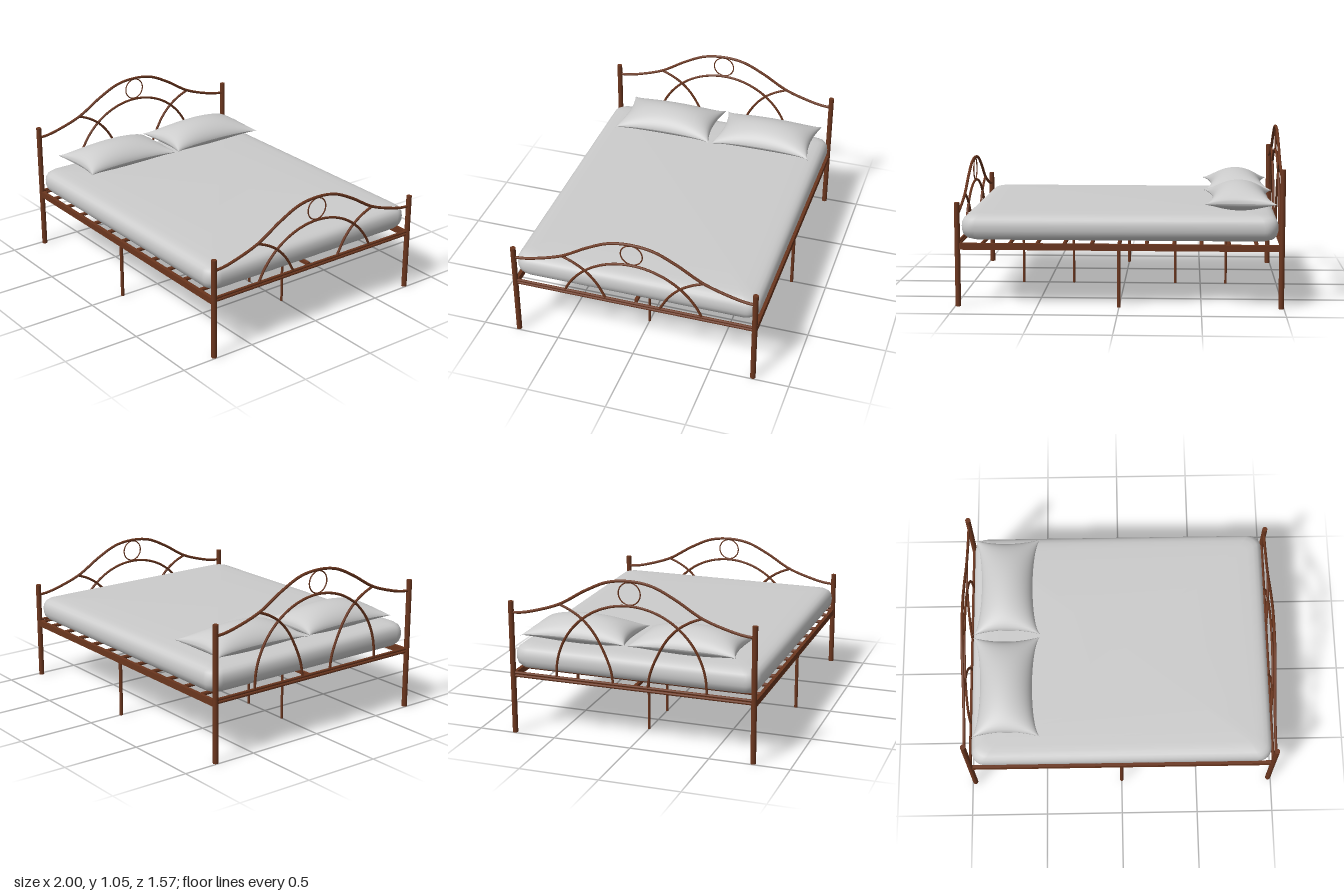
import * as THREE from 'three';

const frameMat = new THREE.MeshStandardMaterial({ color: 0x6b361e });
frameMat.name = 'brown metal';
const fabricMat = new THREE.MeshStandardMaterial({ color: 0xcccccc });
fabricMat.name = 'pale grey fabric';

const V = (x, y, z) => new THREE.Vector3(x, y, z);

function add(parent, name, geometry, material = frameMat) {
  const mesh = new THREE.Mesh(geometry, material);
  mesh.name = name;
  parent.add(mesh);
  return mesh;
}

// Straight round bar between two points
function bar(parent, name, a, b, r, sides = 12) {
  const dir = b.clone().sub(a);
  const mesh = add(parent, name, new THREE.CylinderGeometry(r, r, dir.length(), sides));
  mesh.position.copy(a).add(b).multiplyScalar(0.5);
  mesh.quaternion.setFromUnitVectors(V(0, 1, 0), dir.normalize());
}

// Bent bar in the plane of an end panel, through [z, y] points
function bentBar(parent, name, points, r, segments = 48) {
  const curve = new THREE.CatmullRomCurve3(points.map(([z, y]) => V(0, y, z)));
  add(parent, name, new THREE.TubeGeometry(curve, segments, r, 8));
}

// Arched end panel; "lift" raises the whole ornament above the footboard height
function endPanel(name, x, lift) {
  const g = new THREE.Group();
  g.name = name;
  g.position.x = x;
  const base = 0.39;

  for (const s of [-1, 1]) bar(g, 'cornerPost', V(0, 0, s * 0.77), V(0, 0.638 + lift, s * 0.77), 0.017, 16);
  bar(g, 'upperCrossBar', V(0, 0.392, -0.77), V(0, 0.392, 0.77), 0.009);
  bar(g, 'lowerCrossBar', V(0, 0.373, -0.77), V(0, 0.373, 0.77), 0.009);

  // Sweeping top rail
  const half = [[0.77, 0.568], [0.71, 0.572], [0.62, 0.592], [0.45, 0.65], [0.28, 0.75], [0.14, 0.814]];
  const rail = [...half, [0, 0.832], ...half.map(([z, y]) => [-z, y]).reverse()];
  bentBar(g, 'topRail', rail.map(([z, y]) => [z, y + lift]), 0.009, 80);

  // Inner arch: circular, with straight feet on the taller panel
  const R = 0.48, cy = 0.2 + lift;
  const end = lift > 0 ? Math.PI / 2 : Math.acos((base - cy) / R);
  const arch = [];
  for (let i = -10; i <= 10; i++) {
    const a = (end * i) / 10;
    arch.push([R * Math.sin(a), cy + R * Math.cos(a)]);
  }
  bentBar(g, 'innerArch', arch, 0.008, 64);
  if (lift > 0) for (const s of [-1, 1]) bar(g, 'archFoot', V(0, base, s * R), V(0, cy, s * R), 0.008, 8);

  // Crossing braces on both sides
  for (const s of [-1, 1]) {
    const pts = [[0.452, 0.65], [0.38, 0.62], [0.305, 0.572], [0.235, 0.498], [0.175, 0.395]]
      .map(([z, y]) => [s * z, y + lift]);
    if (lift > 0) pts.push([s * 0.125, 0.48], [s * 0.11, base]);
    bentBar(g, 'curvedBrace', pts, 0.008, 36);
  }

  // Ring between rail and arch
  const ring = add(g, 'ornamentRing', new THREE.TorusGeometry(0.069, 0.004, 8, 40));
  ring.rotation.y = Math.PI / 2;
  ring.position.y = 0.756 + lift;
  return g;
}

// Rails, slats and support legs
function bedBase() {
  const g = new THREE.Group();
  g.name = 'bedBase';
  for (const s of [-1, 1]) {
    add(g, 'sideRail', new THREE.BoxGeometry(1.94, 0.04, 0.022)).position.set(0, 0.37, s * 0.77);
    bar(g, 'sideLeg', V(0, 0, s * 0.77), V(0, 0.36, s * 0.77), 0.011);
    add(g, 'centreBeam', new THREE.BoxGeometry(0.85, 0.02, 0.02)).position.set(s * 0.495, 0.36, 0);
    for (const x of [0.335, 0.667]) bar(g, 'centreLeg', V(s * x, 0, 0), V(s * x, 0.36, 0), 0.008);
  }
  for (let i = -5; i <= 5; i++) bar(g, 'slat', V(i / 6, 0.382, -0.765), V(i / 6, 0.382, 0.765), 0.012, 10);
  return g;
}

// Soft slab: rounded-rectangle sections [inset, height, scale] joined from bottom to top
function mattressGeometry(a, b) {
  const sections = [[0.1, 0.4, 0], [0.1, 0.4, 0.6], [0.1, 0.4, 1], [0.06, 0.404, 1], [0.028, 0.416, 1],
    [0.009, 0.438, 1], [0.001, 0.465, 1], [0, 0.49, 1], [0.003, 0.514, 1], [0.013, 0.535, 1],
    [0.032, 0.55, 1], [0.06, 0.558, 1], [0.1, 0.562, 1], [0.1, 0.567, 0.85], [0.1, 0.572, 0.5], [0.1, 0.573, 0]];
  const steps = 8, n = 4 * (steps + 1), pos = [], idx = [];
  for (const [inset, y, k] of sections) {
    const r = 0.085 - inset * 0.4;
    for (let q = 0; q < 4; q++) {
      const sx = q === 0 || q === 3 ? 1 : -1, sz = q < 2 ? 1 : -1;
      for (let i = 0; i <= steps; i++) {
        const t = (q + i / steps) * Math.PI / 2;
        pos.push(k * (sx * (a - inset - r) + r * Math.cos(t)), y, k * (sz * (b - inset - r) + r * Math.sin(t)));
      }
    }
  }
  for (let j = 0; j < sections.length - 1; j++) {
    for (let i = 0; i < n; i++) {
      const p = j * n + i, q = j * n + (i + 1) % n;
      idx.push(p, p + n, q, q, p + n, q + n);
    }
  }
  const geo = new THREE.BufferGeometry();
  geo.setAttribute('position', new THREE.Float32BufferAttribute(pos, 3));
  geo.setIndex(idx);
  geo.computeVertexNormals();
  return geo;
}

// One face of a pillow: puffed in the middle, pinched in along the edges
function pillowFace(side, height) {
  const geo = new THREE.PlaneGeometry(2, 2, 24, 28).rotateX(-side * Math.PI / 2);
  const p = geo.attributes.position;
  for (let i = 0; i < p.count; i++) {
    const u = Math.sin(p.getX(i) * Math.PI / 2), v = Math.sin(p.getZ(i) * Math.PI / 2);
    const fu = Math.max(0, 1 - u * u), fv = Math.max(0, 1 - v * v);
    p.setXYZ(i,
      0.225 * u * (1 - 0.26 * Math.sqrt(fv)),
      side * height * Math.pow(fu, 0.6) * Math.pow(fv, 0.45),
      0.338 * v * (1 - 0.1 * fu));
  }
  geo.computeVertexNormals();
  return geo;
}

function pillow(z) {
  const g = new THREE.Group();
  g.name = 'pillow';
  g.position.set(-0.737, 0.628, z);
  add(g, 'pillowTop', pillowFace(1, 0.105), fabricMat);
  add(g, 'pillowUnderside', pillowFace(-1, 0.07), fabricMat);
  return g;
}

export function createModel() {
  const model = new THREE.Group();
  model.name = 'doubleBed';
  model.add(endPanel('headboard', -0.983, 0.21), endPanel('footboard', 0.983, 0), bedBase());
  add(model, 'mattress', mattressGeometry(0.965, 0.783), fabricMat);
  model.add(pillow(-0.385), pillow(0.308));
  return model;
}
